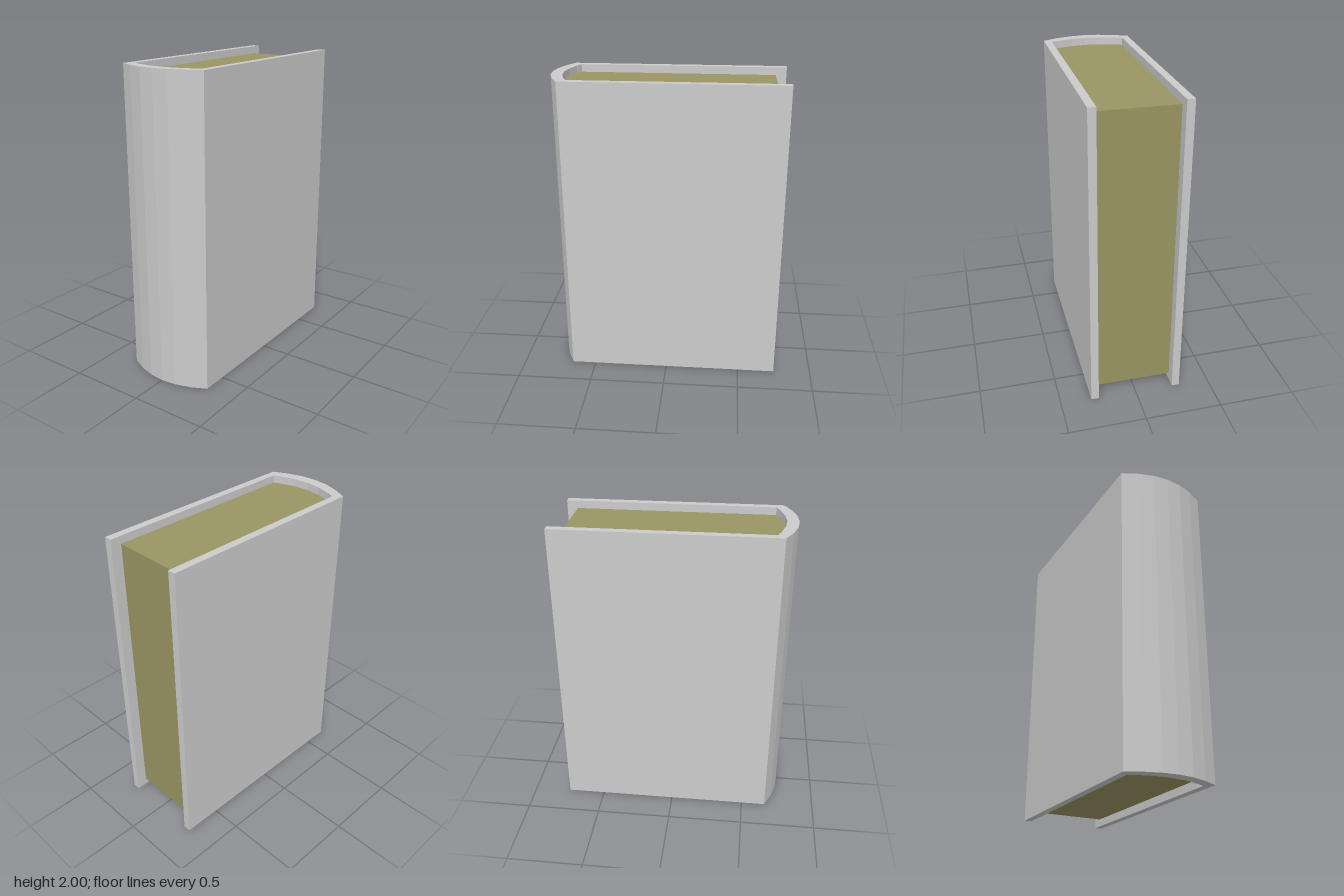
import * as THREE from 'three';

const HEIGHT = 2, INSET = 0.05, BACK = -0.75, PAGE_BACK = -0.68;

// Right halves of the rounded spine, [x, z] from the centre outwards
const outerHalf = [[0, 0.75], [0.1, 0.74], [0.2, 0.71], [0.3, 0.662]];
const innerHalf = [[0, 0.675], [0.1, 0.665], [0.2, 0.636], [0.25, 0.614]];

// Full curve from -x to +x
const mirrored = (half) => [...half.slice(1).reverse().map(([x, z]) => [-x, z]), ...half];

// Extrudes an [x, z] outline upwards from y0 to y1
function upright(name, outline, y0, y1, color) {
  const shape = new THREE.Shape(outline.map(([x, z]) => new THREE.Vector2(x, -z)));
  const geometry = new THREE.ExtrudeGeometry(shape, { depth: y1 - y0, bevelEnabled: false });
  geometry.rotateX(-Math.PI / 2).translate(0, y0, 0);
  const mesh = new THREE.Mesh(geometry, new THREE.MeshStandardMaterial({ color, flatShading: true }));
  mesh.name = name;
  return mesh;
}

export function createModel() {
  const book = new THREE.Group();
  book.name = 'book';
  const outer = mirrored(outerHalf), inner = mirrored(innerHalf);

  // Binding: both boards and the spine in one U-shaped profile
  const binding = [
    [-0.3, BACK], ...outer, [0.3, BACK],
    [0.25, BACK], ...[...inner].reverse(), [-0.25, BACK],
  ];
  book.add(upright('binding', binding, 0, HEIGHT, 0xcccccc));

  // Page block, set in at top, bottom and fore edge
  const pages = [[-0.25, PAGE_BACK], ...inner, [0.25, PAGE_BACK]];
  book.add(upright('pages', pages, INSET, HEIGHT - INSET, 0x999563));

  return book;
}
